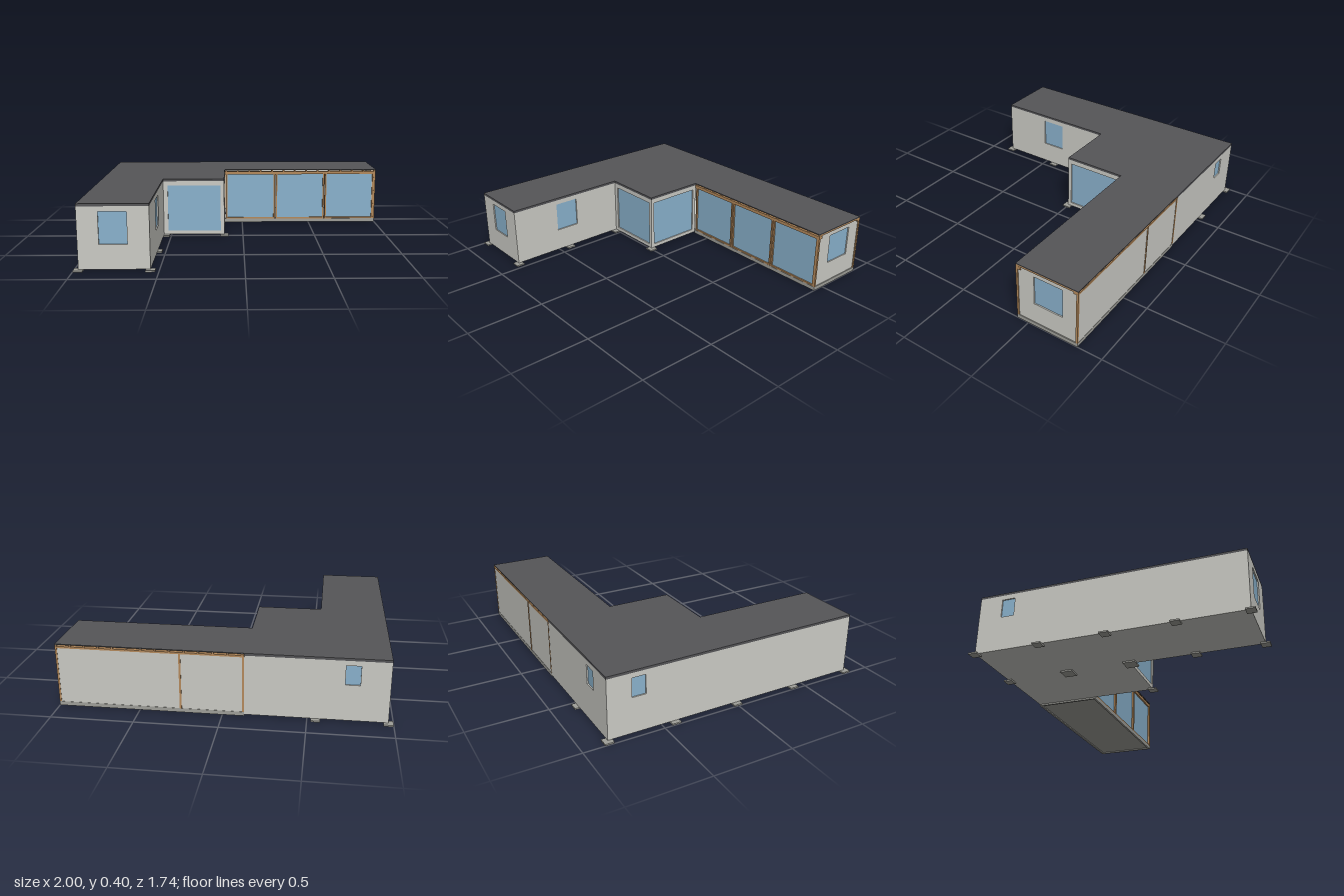
import * as THREE from 'three';

const mat = (name, color) => new THREE.MeshStandardMaterial({ name, color });

export function createModel() {
  const model = new THREE.Group();
  model.name = 'cornerHouse';
  const wallMat = mat('plaster', 0xcbcbc5);
  const roofMat = mat('roofing', 0x555558);
  const glassMat = mat('glass', 0x8ab2cd);
  const woodMat = mat('timber', 0xb58a5c);
  const baseMat = mat('concrete', 0x9f9f99);

  // Box given by its two opposite corners
  function box(name, m, [x0, y0, z0], [x1, y1, z1]) {
    const mesh = new THREE.Mesh(new THREE.BoxGeometry(x1 - x0, y1 - y0, z1 - z0), m);
    mesh.position.set((x0 + x1) / 2, (y0 + y1) / 2, (z0 + z1) / 2);
    mesh.name = name;
    model.add(mesh);
    return mesh;
  }

  // Flat slab over the stepped plan of the main block
  function slab(name, m, y0, y1, inset = 0) {
    const i = inset;
    const pts = [[-0.97 + i, -0.84 + i], [-0.13 - i, -0.84 + i], [-0.13 - i, -i],
      [-0.55 - i, -i], [-0.55 - i, 0.84 - i], [-0.97 + i, 0.84 - i]];
    const shape = new THREE.Shape(pts.map(([x, z]) => new THREE.Vector2(x, -z)));
    const geo = new THREE.ExtrudeGeometry(shape, { depth: y1 - y0, bevelEnabled: false });
    geo.rotateX(-Math.PI / 2).translate(0, y0, 0);
    const mesh = new THREE.Mesh(geo, m);
    mesh.name = name;
    model.add(mesh);
  }

  // Wall from a to b, seen left to right from outside, with a window [u0, y0, u1, y1]
  function wall(name, [ax, az], [bx, bz], y0, y1, win) {
    const g = new THREE.Group();
    g.name = name;
    g.position.set(ax, 0, az);
    g.rotation.y = Math.atan2(az - bz, bx - ax);
    const len = Math.hypot(bx - ax, bz - az);
    const rect = (C, u0, v0, u1, v1) => new C([[u0, v0], [u1, v0], [u1, v1], [u0, v1]]
      .map(([u, v]) => new THREE.Vector2(u, v)));
    const shape = rect(THREE.Shape, 0, y0, len, y1);
    if (win) {
      shape.holes.push(rect(THREE.Path, ...win));
      const [u0, v0, u1, v1] = win;
      const pane = new THREE.Mesh(new THREE.BoxGeometry(u1 - u0, v1 - v0, 0.006), glassMat);
      pane.position.set((u0 + u1) / 2, (v0 + v1) / 2, -0.011);
      pane.name = name + 'Window';
      g.add(pane);
    }
    const geo = new THREE.ExtrudeGeometry(shape, { depth: 0.02, bevelEnabled: false });
    const panel = new THREE.Mesh(geo.translate(0, 0, -0.02), wallMat);
    panel.name = name + 'Panel';
    g.add(panel);
    model.add(g);
  }

  // Main block: floor, walls and roof
  slab('floor', wallMat, 0.01, 0.02, 0.001);
  slab('mainRoof', roofMat, 0.385, 0.4);
  const B = 0.01, T = 0.385;
  wall('frontWall', [-0.97, 0.84], [-0.55, 0.84], B, T, [0.125, 0.16, 0.29, 0.355]);
  wall('courtWall', [-0.55, 0.84], [-0.55, 0], B, T, [0.33, 0.16, 0.495, 0.355]);
  wall('livingFrontWall', [-0.55, 0], [-0.13, 0], B, T, [0.03, 0.035, 0.395, 0.355]);
  wall('livingSideWall', [-0.13, 0], [-0.13, -0.42], B, T, [0.025, 0.035, 0.395, 0.355]);
  wall('backWall', [-0.13, -0.84], [-0.97, -0.84], B, T, [0.582, 0.235, 0.668, 0.355]);
  wall('outerWall', [-0.97, -0.84], [-0.97, 0.84], B, T, [0.152, 0.235, 0.238, 0.355]);

  // Footing pads, larger under the inner grid points
  const pads = [[-0.13, 0]];
  for (const z of [-0.84, -0.42, 0, 0.42, 0.84]) pads.push([-0.97, z], [-0.55, z]);
  for (const [x, z] of pads) {
    const r = x === -0.55 && (z === 0 || z === -0.42) ? 0.04 : 0.028;
    box('footingPad', baseMat, [x - r, 0, z - r], [x + r, 0.0095, z + r]);
  }

  // Wing base: recessed deck inside a rim
  const X0 = -0.13, X1 = 1, Z0 = -0.84, Z1 = -0.42;
  box('wingDeck', baseMat, [X0, 0.008, Z0 + 0.01], [X1 - 0.01, 0.025, Z1 - 0.01]);
  for (const z of [Z0, Z1 - 0.014]) box('baseRim', baseMat, [X0, 0, z], [X1, 0.025, z + 0.014]);
  for (const x of [X0, X1 - 0.014]) {
    box('baseRimEnd', baseMat, [x, 0, Z0 + 0.014], [x + 0.014, 0.025, Z1 - 0.014]);
  }

  // Wing walls
  wall('wingEndWall', [0.994, Z1 - 0.012], [0.994, Z0 + 0.012], 0.025, 0.385, [0.108, 0.16, 0.303, 0.355]);
  const bays = [-0.125, 0.25, 0.62, 0.992];
  for (let i = 0; i < 3; i++) {
    wall('wingBackWall', [bays[i + 1], Z0 + 0.002], [bays[i], Z0 + 0.002], 0.025, 0.377);
    // Glazed bay with its own pair of posts
    const a = bays[i] + 0.003, b = bays[i + 1] - 0.003;
    box('bayGlass', glassMat, [a, 0.033, Z1 - 0.019], [b, 0.365, Z1 - 0.012]);
    for (const x of [a, b - 0.011]) box('bayPost', woodMat, [x, 0.025, Z1 - 0.032], [x + 0.011, 0.366, Z1 - 0.001]);
    box('baySill', woodMat, [a, 0.025, Z1 - 0.032], [b, 0.035, Z1 - 0.002]);
  }

  // Timber frame: beams, corner posts, back posts
  box('frontBeam', woodMat, [X0, 0.364, Z1 - 0.032], [X1, 0.385, Z1]);
  box('backBeam', woodMat, [X0, 0.374, Z0], [X1, 0.385, Z0 + 0.03]);
  for (const z of [Z0, Z1 - 0.013]) box('cornerPost', woodMat, [0.988, 0.025, z], [X1, 0.385, z + 0.013]);
  for (const x of [-0.125, 0.25]) box('backPost', woodMat, [x - 0.006, 0.025, Z0 - 0.001], [x + 0.006, 0.385, Z0 + 0.02]);

  // Open joists under the thin wing roof
  for (let i = 0; i <= 13; i++) {
    const x = -0.118 + i * 0.0856;
    box('roofJoist', woodMat, [x - 0.005, 0.385, Z0 + 0.001], [x + 0.005, 0.396, Z1 - 0.001]);
  }
  box('wingRoof', roofMat, [X0, 0.395, Z0], [X1, 0.4, Z1]);

  return model;
}
